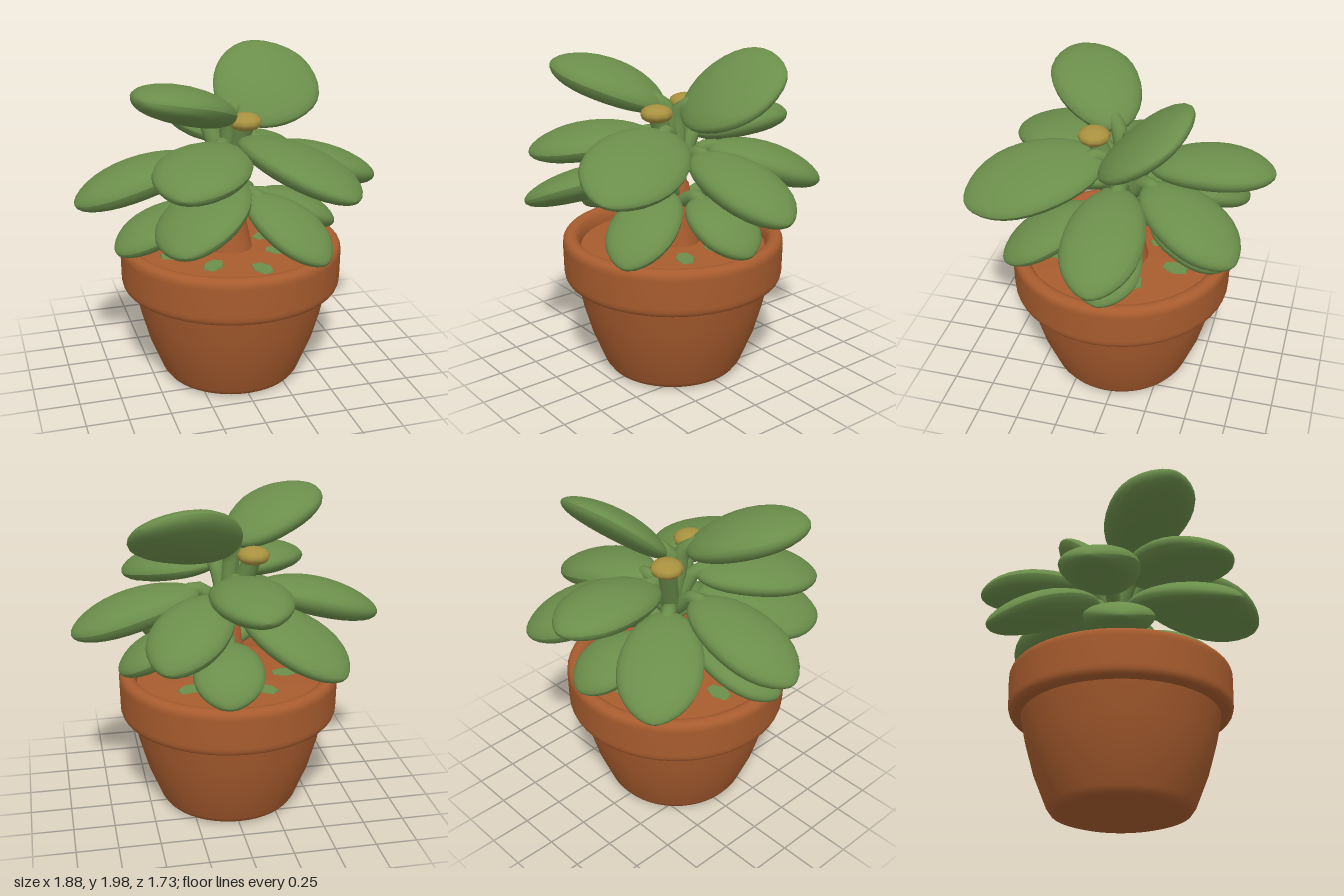
import * as THREE from 'three';

const V = (x, y, z) => new THREE.Vector3(x, y, z);
// Point at a heading in degrees, measured from +x towards +z
const polar = (deg, r, y) => {
  const a = THREE.MathUtils.degToRad(deg);
  return V(Math.cos(a) * r, y, Math.sin(a) * r);
};

function makeMaterial(name, color) {
  const m = new THREE.MeshStandardMaterial({ color });
  m.name = name;
  return m;
}

// Plump ovate leaf: a sphere stretched from base to tip, with a slightly pinched tip
function leafGeometry(base, tip, width, thick, up) {
  const axis = tip.clone().sub(base);
  const length = axis.length();
  axis.normalize();
  const normal = up.clone().addScaledVector(axis, -up.dot(axis)).normalize();
  const side = axis.clone().cross(normal);
  const geo = new THREE.SphereGeometry(1, 24, 16);
  const p = geo.attributes.position;
  const v = V(0, 0, 0);
  for (let i = 0; i < p.count; i++) {
    v.fromBufferAttribute(p, i);
    const pinch = v.y > 0 ? 1 - 0.2 * v.y ** 4 : 1;
    const w = v.x * (1 + 0.08 * v.y) * pinch * width * 0.5;
    const h = v.z * thick * (v.z > 0 ? 0.45 : 0.55) - 0.03 * (v.y * v.y - 0.4);
    const l = (v.y * 0.5 + 0.5) * length;
    v.copy(base).addScaledVector(axis, l).addScaledVector(side, w).addScaledVector(normal, h);
    p.setXYZ(i, v.x, v.y, v.z);
  }
  geo.computeVertexNormals();
  return geo;
}

const stalkGeometry = (points, radius) =>
  new THREE.TubeGeometry(new THREE.CatmullRomCurve3(points), 8, radius, 10);

const lathe = (pts) => new THREE.LatheGeometry(pts.map(([x, y]) => new THREE.Vector2(x, y)), 48);

export function createModel() {
  const root = new THREE.Group();
  root.name = 'pottedPlant';
  const clay = makeMaterial('terracotta', 0xa85c2e);
  const green = makeMaterial('leafGreen', 0x6b8e4b);
  const gold = makeMaterial('budGold', 0xa8913f);

  const add = (name, geo, material, parent = root) => {
    const mesh = new THREE.Mesh(geo, material);
    mesh.name = name;
    parent.add(mesh);
    return mesh;
  };
  const addGroup = (name, parent = root) => {
    const group = new THREE.Group();
    group.name = name;
    parent.add(group);
    return group;
  };

  // Pot: tapered wall, rounded rim and soil surface, set slightly forward of the plant
  const pot = addGroup('pot');
  pot.position.set(-0.005, 0, 0.03);
  add('potWall', lathe([[0, 0.005], [0.36, 0.01], [0.405, 0.025], [0.43, 0.06],
    [0.51, 0.26], [0.56, 0.44], [0.597, 0.62]]), clay, pot);
  const rimShape = new THREE.Shape();
  rimShape.moveTo(0.56, 0.6);
  rimShape.lineTo(0.62, 0.6);
  rimShape.quadraticCurveTo(0.667, 0.6, 0.667, 0.66);
  rimShape.lineTo(0.67, 0.83);
  rimShape.quadraticCurveTo(0.67, 0.886, 0.62, 0.886);
  rimShape.quadraticCurveTo(0.565, 0.886, 0.56, 0.78);
  add('potRim', new THREE.LatheGeometry(rimShape.getPoints(5), 48), clay, pot);
  add('soil', lathe([[0.57, 0.8], [0, 0.82]]), clay, pot);

  // Small green patches on the soil
  const patches = addGroup('soilPatches', pot);
  for (let i = 0; i < 7; i++) {
    const heading = 23 + i * 51.5;
    const r = i % 2 ? 0.36 : 0.29;
    const patch = add('soilPatch', new THREE.CylinderGeometry(0.085, 0.09, 0.008, 6), green, patches);
    patch.position.copy(polar(heading, r, 0.823 - r * 0.035));
    patch.scale.z = 0.65;
    patch.rotation.y = -THREE.MathUtils.degToRad(heading);
  }

  // Woody trunk
  add('trunk', lathe([[0.14, 0.8], [0.1, 0.98], [0.07, 1.18], [0, 1.28]]), clay);

  // One leaf with a stalk running from the trunk into the blade
  const addLeaf = (name, base, tip, width, thick, up) => {
    const leaf = addGroup(name);
    add('blade', leafGeometry(base, tip, width, thick, up), green, leaf);
    const start = V(0, Math.min(base.y - 0.08, 1.24), 0);
    const mid = V(base.x * 0.45, (start.y + base.y) / 2, base.z * 0.45);
    add('stalk', stalkGeometry([start, mid, base, base.clone().lerp(tip, 0.18)], 0.045), green, leaf);
  };

  // Top pair of leaves
  addLeaf('topRightLeaf', V(0, 1.64, -0.02), V(0.55, 1.9, -0.34), 0.64, 0.18, V(0, 1, 0.8));
  addLeaf('topLeftLeaf', V(-0.05, 1.67, 0.06), V(-0.61, 1.9, 0.47), 0.52, 0.22, V(0.1, 1, -0.05));

  // Broad leaves: heading, reach, base height, tip height, width, sideways roll
  for (const [deg, reach, y0, y1, width, roll] of [
    [61, 0.96, 1.54, 1.36, 0.57, 0.2],
    [122, 0.88, 1.5, 1.42, 0.54, 0],
    [121, 0.92, 1.29, 1.12, 0.54, -0.25],
    [230, 0.85, 1.33, 1.06, 0.49, 0],
    [267, 0.87, 1.49, 1.51, 0.45, 0],
  ]) {
    addLeaf('broadLeaf', polar(deg, 0.14, y0), polar(deg, reach, y1), width, 0.2, polar(deg - 90, roll, 1));
  }

  // Middle ring of drooping leaves: heading and reach
  for (const [deg, reach] of [[-2, 0.945], [178, 0.945], [303, 0.87]]) {
    addLeaf('middleLeaf', polar(deg, 0.18, 1.41), polar(deg, reach, 1.2), 0.46, 0.22, V(0, 1, 0));
  }

  // Low ring of small leaves: heading, reach, base height
  for (const [deg, reach, y0] of [[60, 0.765, 1.2], [0, 0.675, 1.14], [167, 0.755, 1.13], [280, 0.665, 1.13]]) {
    addLeaf('lowLeaf', polar(deg, 0.18, y0), polar(deg, reach, 0.93), 0.41, 0.18, V(0, 1, 0));
  }

  // Two flower buds on upright shoots
  for (const top of [V(-0.12, 1.64, -0.15), V(0.04, 1.645, 0.18)]) {
    const shoot = addGroup('budShoot');
    const bend = V(top.x * 0.45, 1.4, top.z * 0.45);
    add('shootStem', stalkGeometry([V(0, 1.2, 0), bend, top], 0.055), green, shoot);
    const bud = add('bud', new THREE.SphereGeometry(1, 10, 8), gold, shoot);
    bud.position.copy(top);
    bud.scale.set(0.097, 0.052, 0.097);
  }
  return root;
}
